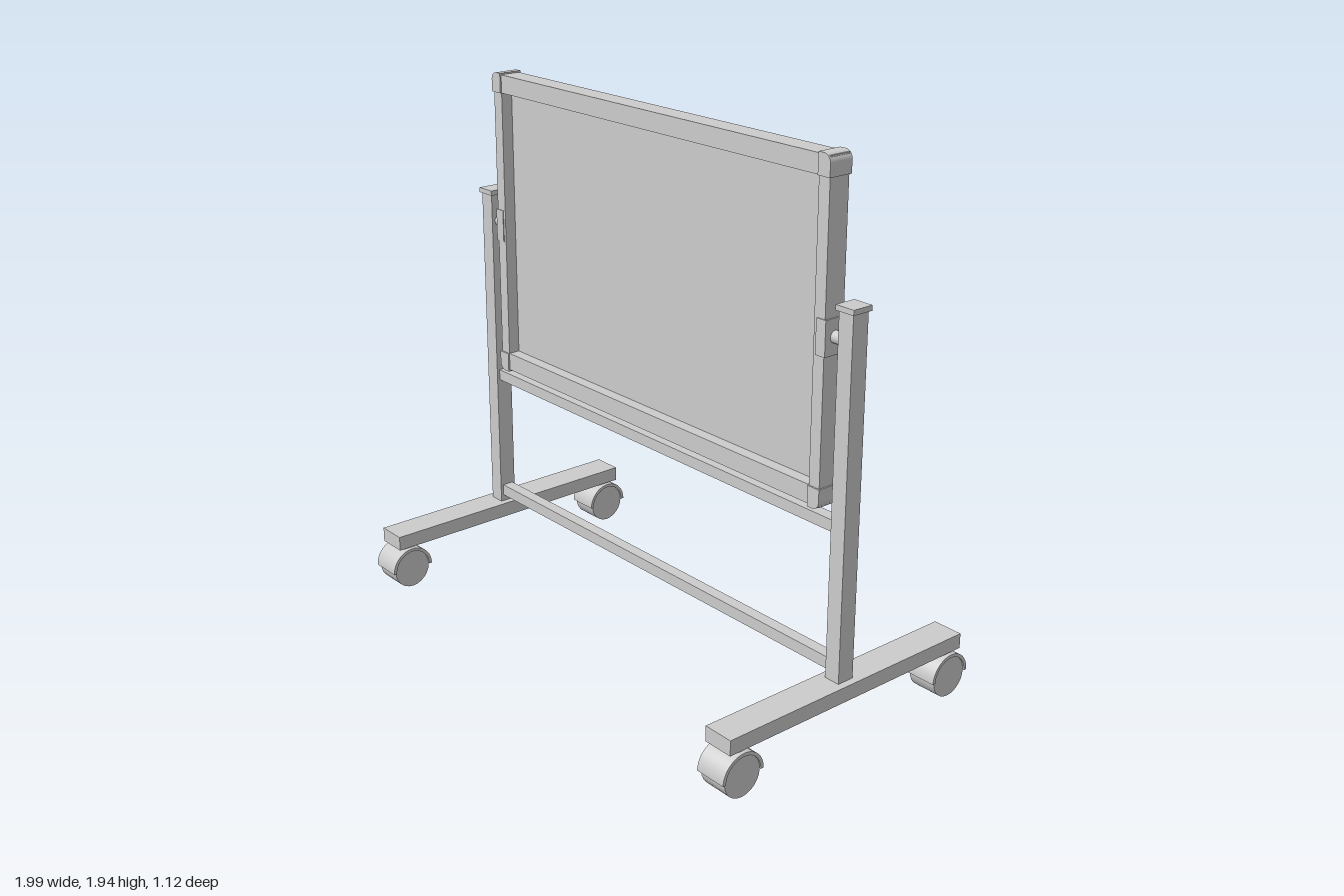
import * as THREE from 'three';

const material = new THREE.MeshStandardMaterial({ color: 0xcccccc });

function add(parent, name, geometry, x = 0, y = 0, z = 0) {
  const mesh = new THREE.Mesh(geometry, material);
  mesh.name = name;
  mesh.position.set(x, y, z);
  parent.add(mesh);
  return mesh;
}

// Box given by its limits on each axis
function block(parent, name, [x0, x1], [y0, y1], [z0, z1]) {
  return add(parent, name, new THREE.BoxGeometry(x1 - x0, y1 - y0, z1 - z0),
    (x0 + x1) / 2, (y0 + y1) / 2, (z0 + z1) / 2);
}

function rectangle(Type, x0, x1, y0, y1) {
  const r = new Type();
  r.moveTo(x0, y0);
  r.lineTo(x1, y0);
  r.lineTo(x1, y1);
  r.lineTo(x0, y1);
  r.closePath();
  return r;
}

const extrude = (shape, depth) =>
  new THREE.ExtrudeGeometry(shape, { depth, bevelEnabled: false, curveSegments: 8 });

// Corner cap with its outer corner rounded; sx and sy choose the corner
function cornerCap(parent, sx, sy) {
  const w = 0.051, h = 0.072, r = 0.028;
  const s = new THREE.Shape();
  s.moveTo(0, 0);
  s.lineTo(w, 0);
  s.lineTo(w, h - r);
  s.absarc(w - r, h - r, r, 0, Math.PI / 2, false);
  s.lineTo(0, h);
  s.closePath();
  const geometry = extrude(s, 0.092);
  geometry.translate(0, 0, -0.046);
  // Half turns keep the faces pointing outwards
  if (sx < 0) geometry.rotateY(Math.PI);
  if (sy < 0) geometry.rotateX(Math.PI);
  add(parent, 'cornerCap', geometry, sx * 0.809, sy > 0 ? 1.87 : 0.872, 0.004);
}

// Wheel under a half-round fender, joined to the foot by a short stem
function caster(parent, x, z) {
  const group = new THREE.Group();
  group.name = 'caster';
  group.position.set(x, 0.074, z);
  parent.add(group);

  const wheel = new THREE.CylinderGeometry(0.074, 0.074, 0.108, 24);
  wheel.rotateZ(Math.PI / 2);
  add(group, 'wheel', wheel);

  const arc = new THREE.Shape();
  arc.absarc(0, 0, 0.085, 0, Math.PI, false);
  arc.absarc(0, 0, 0.073, Math.PI, 0, true);
  arc.closePath();
  const fender = new THREE.ExtrudeGeometry(arc, { depth: 0.12, bevelEnabled: false, curveSegments: 16 });
  fender.translate(0, 0, -0.06);
  fender.rotateY(Math.PI / 2);
  add(group, 'fender', fender);

  add(group, 'stem', new THREE.CylinderGeometry(0.03, 0.03, 0.024, 16), 0, 0.092, 0);
}

export function createModel() {
  const model = new THREE.Group();
  model.name = 'mobileBoard';

  // Board: flat back panel with a raised frame on the front
  const board = new THREE.Group();
  board.name = 'board';
  model.add(board);
  block(board, 'panel', [-0.855, 0.855], [0.807, 1.936], [-0.036, 0]);
  const rim = rectangle(THREE.Shape, -0.855, 0.855, 0.807, 1.936);
  rim.holes.push(rectangle(THREE.Path, -0.809, 0.809, 0.873, 1.87));
  add(board, 'frame', extrude(rim, 0.044));
  for (const sx of [-1, 1]) for (const sy of [-1, 1]) cornerCap(board, sx, sy);

  // Stand sides, mirrored left and right
  for (const side of [-1, 1]) {
    const half = new THREE.Group();
    half.name = side > 0 ? 'leftSide' : 'rightSide';
    model.add(half);
    const span = (a, b) => (side > 0 ? [a, b] : [-b, -a]);

    block(half, 'post', span(0.905, 0.965), [0.21, 1.472], [-0.028, 0.037]);
    block(half, 'postCap', span(0.896, 0.972), [1.472, 1.49], [-0.036, 0.044]);
    block(half, 'foot', span(0.878, 0.992), [0.167, 0.222], [-0.525, 0.53]);
    block(half, 'pivotBracket', span(0.82, 0.861), [1.31, 1.43], [-0.042, 0.047]);
    const pivot = new THREE.CylinderGeometry(0.021, 0.021, 0.05, 16);
    pivot.rotateZ(Math.PI / 2);
    add(half, 'pivot', pivot, side * 0.882, 1.37, 0.004);
    for (const z of [-0.477, 0.477]) caster(half, side * 0.937, z);
  }

  // Rails joining the posts
  block(model, 'upperRail', [-0.905, 0.905], [0.735, 0.776], [-0.018, 0.026]);
  block(model, 'lowerRail', [-0.905, 0.905], [0.247, 0.29], [-0.018, 0.026]);

  return model;
}
